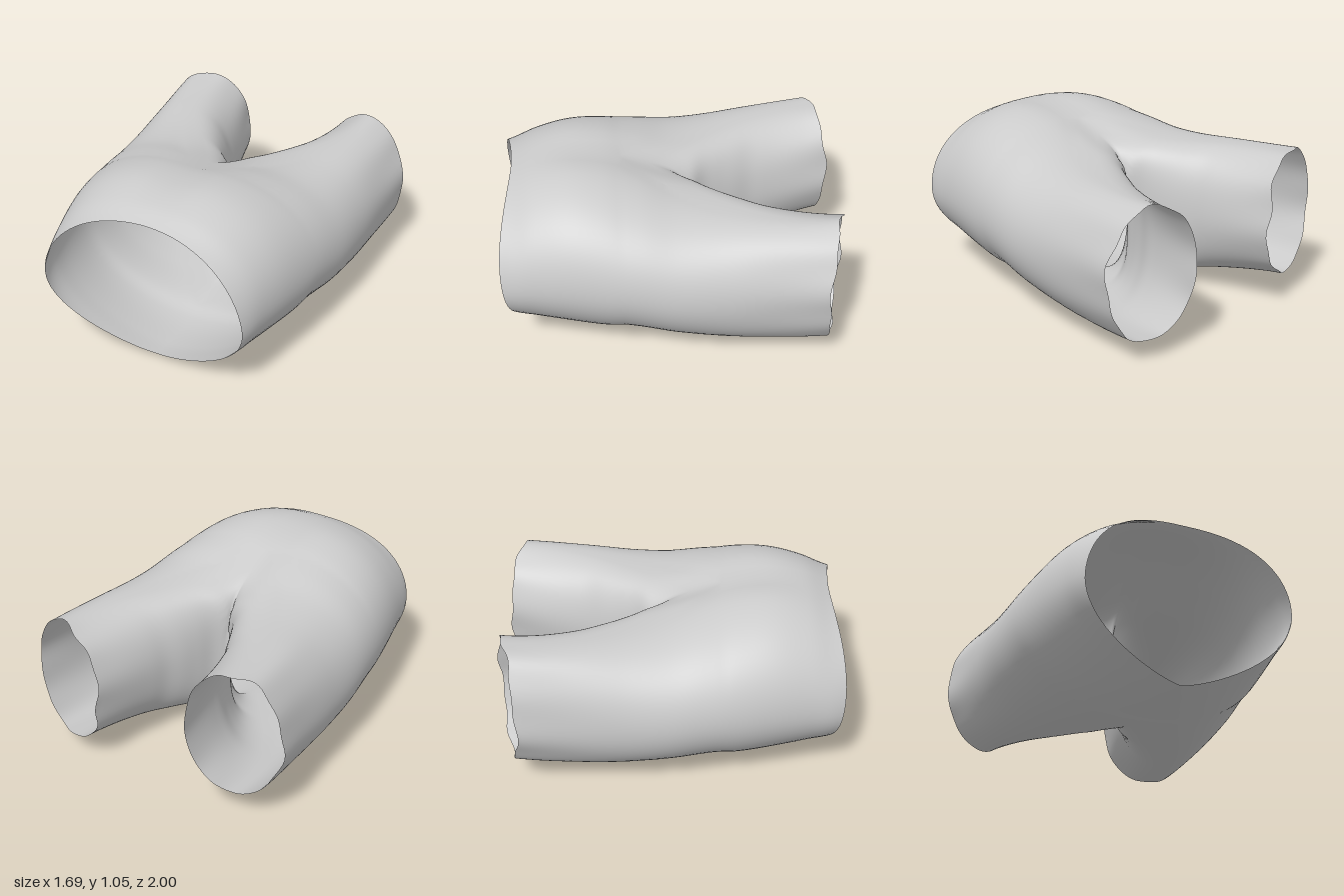
import * as THREE from 'three';
import { mergeVertices } from 'three/addons/utils/BufferGeometryUtils.js';

// Smooth lookup through a few [z, value] pairs, held constant past the ends.
function profile(pairs) {
  const f = new THREE.CubicInterpolant(pairs.map(p => p[0]), pairs.map(p => p[1]), 1);
  return z => f.evaluate(z)[0];
}

// Body outline along z, from the leg cuffs (-1) to the waist (+1)
const topY = profile([[-1, 0.93], [-0.85, 0.915], [-0.5, 0.9], [-0.2, 0.9], [0, 0.925], [0.2, 0.985],
  [0.4, 1.04], [0.6, 1.055], [0.8, 1.015], [0.93, 0.96], [1, 0.94]]);
const bottomY = profile([[-1, 0.16], [-0.6, 0.11], [-0.3, 0.075], [0, 0.055], [0.25, 0.035], [0.4, 0.0],
  [0.7, 0.005], [0.85, 0.025], [1, 0.05]]);
const outerX = profile([[-0.9, 0.845], [-0.6, 0.822], [-0.3, 0.815], [0, 0.806], [0.2, 0.785], [0.4, 0.757],
  [0.6, 0.72], [0.8, 0.675], [0.93, 0.645], [1, 0.62]]);
const innerX = profile([[-1, 0.3], [-0.8, 0.255], [-0.6, 0.21], [-0.5, 0.185], [-0.4, 0.14],
  [-0.3, 0.1], [-0.2, 0.055], [-0.14, 0]]);

const HALF = 40;          // segments in half a ring
const TORSO_ROWS = 24;
const LEG_ROWS = 44;
const HIP_Z = 0.3;        // where the torso divides into legs
const SEAM_X = -0.015;    // the body sits slightly off centre
const lerp = THREE.MathUtils.lerp;

// Section fullness above and below the side line; below 1 is boxier
const hipPower = a => (Math.cos(a) > 0 ? 0.74 : 0.95);
const waistPower = a => (Math.cos(a) > 0 ? 0.83 : 1.4);

// Height at ring angle a, with a shallow valley along the centre seam
function heightAt(a, x, z) {
  const top = topY(z), bottom = bottomY(z), c = Math.cos(a);
  const depth = 0.028 * (1 - THREE.MathUtils.smoothstep(z, 0.5, 0.9));
  const valley = depth * Math.exp(-((x / 0.13) ** 2)) * Math.max(0, c);
  return (top + bottom) / 2 + (top - bottom) / 2 * c - valley;
}

// Torso: half rings from the top seam round the hip to the bottom seam
function torsoPoint(a, t, side) {
  const s = Math.abs(Math.sin(a));
  const waistZ = 0.88 + 0.05 * Math.cos(a) + 0.11 * s ** 1.4;
  const z = lerp(waistZ, HIP_Z, t);
  const x = outerX(z) * s ** lerp(waistPower(a), hipPower(a), t);
  return [x * side + SEAM_X, heightAt(a, x, z), z];
}

// Leg: full rings whose inner half starts on the curved crotch seam
function legPoint(a, t, side) {
  const s = Math.abs(Math.sin(a)), inner = a > Math.PI;
  const midX = 0.575 * (1 - (1 - t) ** 2);
  const wave = Math.sin(5 * a + side) + 0.7 * Math.sin(9 * a + 2 * side);
  const cuffZ = -0.925 + (inner ? -0.07 : 0.07) * s + 0.008 * wave;
  const seamPower = Math.cos(a) > 0 ? 0.36 : 0.44;
  const startZ = inner ? HIP_Z - 0.44 * s ** seamPower : HIP_Z;
  const z = lerp(startZ, cuffZ, t);
  const edge = inner ? Math.max(0, innerX(z)) : outerX(z);
  const x = lerp(midX, edge, s ** (inner ? 1 : lerp(hipPower(a), 1, t)));
  // soft folds that deepen toward the cuff, and one leg lying lower
  const fold = 0.006 * t ** 3 * wave;
  const drop = side * 0.028 * t;
  return [
    (x + Math.sin(a) * fold) * side + SEAM_X * (1 - t),
    heightAt(a, x, z) + Math.cos(a) * fold - drop,
    z,
  ];
}

// Adds a grid of quads to the position list, mirrored for side = -1
function addGrid(out, cols, rows, side, pointAt) {
  const grid = [];
  for (let r = 0; r <= rows; r++) {
    grid.push([]);
    for (let c = 0; c <= cols; c++) grid[r].push(pointAt(c / HALF * Math.PI, r / rows, side));
  }
  for (let r = 0; r < rows; r++) {
    for (let c = 0; c < cols; c++) {
      const p = grid[r][c], q = grid[r][c + 1], u = grid[r + 1][c], v = grid[r + 1][c + 1];
      const corners = side > 0 ? [p, q, u, q, v, u] : [p, u, q, q, u, v];
      corners.forEach(k => out.push(...k));
    }
  }
}

export function createModel() {
  const group = new THREE.Group();
  group.name = 'shorts';

  const positions = [];
  for (const side of [1, -1]) {
    addGrid(positions, HALF, TORSO_ROWS, side, torsoPoint);
    addGrid(positions, HALF * 2, LEG_ROWS, side, legPoint);
  }

  // Weld both halves so shading runs smoothly across the seams
  let geometry = new THREE.BufferGeometry();
  geometry.setAttribute('position', new THREE.Float32BufferAttribute(positions, 3));
  geometry = mergeVertices(geometry, 1e-4);
  geometry.computeVertexNormals();

  const cloth = new THREE.Mesh(geometry, new THREE.MeshStandardMaterial({
    color: 0xcccccc, side: THREE.DoubleSide,
  }));
  cloth.name = 'shortsCloth';
  group.add(cloth);
  return group;
}
